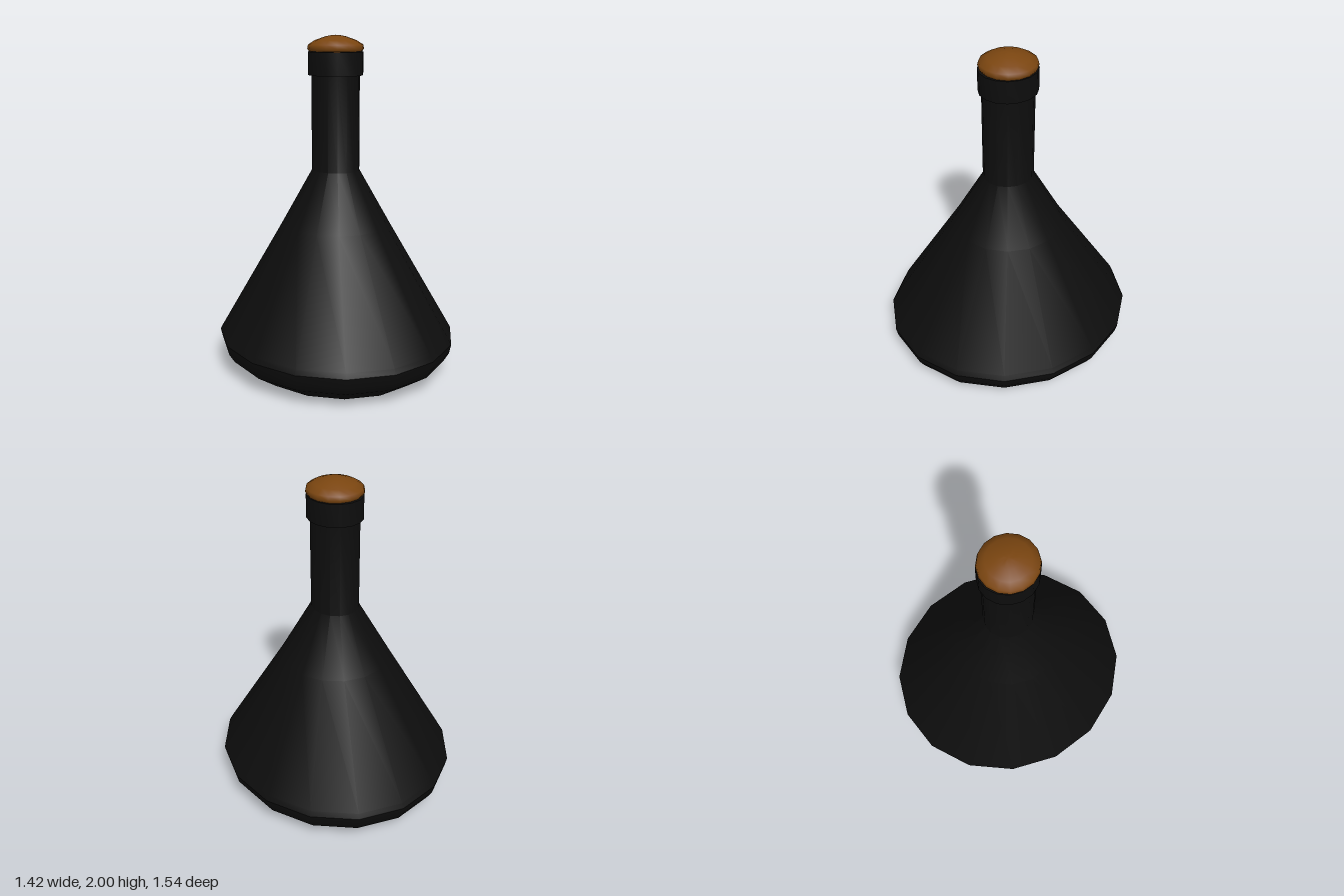
import * as THREE from 'three';
import { toCreasedNormals } from 'three/addons/utils/BufferGeometryUtils.js';

const SIDES = 16;

// Revolves rings of [x radius, z radius, height] into a slightly oval surface
function ovalLathe(name, rings, color, crease = 0.6) {
  const points = rings.map(([rx, , y]) => new THREE.Vector2(rx, y));
  const geometry = new THREE.LatheGeometry(points, SIDES);
  const pos = geometry.attributes.position;
  for (let i = 0; i < pos.count; i++) {
    const [rx, rz] = rings[i % rings.length];
    if (rx > 0) pos.setZ(i, pos.getZ(i) * rz / rx);
  }
  const material = new THREE.MeshStandardMaterial({ color });
  const mesh = new THREE.Mesh(toCreasedNormals(geometry, crease), material);
  mesh.name = name;
  return mesh;
}

export function createModel() {
  const group = new THREE.Group();
  group.name = 'flask';
  const glass = 0x0d0d0d;

  // Flared body with rounded foot, running up into the straight neck
  group.add(ovalLathe('body', [
    [0, 0, 0.004], [0.52, 0.585, 0.004], [0.53, 0.595, 0],
    [0.665, 0.73, 0.092], [0.698, 0.76, 0.145], [0.71, 0.772, 0.2],
    [0.693, 0.757, 0.23], [0.326, 0.335, 0.88], [0.14, 0.152, 1.21],
    [0.14, 0.152, 1.8],
  ], glass));

  // Thick lip around the mouth
  group.add(ovalLathe('collar', [
    [0.135, 0.145, 1.77], [0.16, 0.171, 1.77],
    [0.16, 0.171, 1.905], [0.12, 0.13, 1.905],
  ], glass));

  // Domed stopper, with its plug inside the neck
  group.add(ovalLathe('stopper', [
    [0, 0, 1.7], [0.11, 0.115, 1.7], [0.12, 0.125, 1.905],
    [0.155, 0.158, 1.907], [0.165, 0.168, 1.922], [0.16, 0.163, 1.945],
    [0.12, 0.122, 1.97], [0.06, 0.061, 1.991], [0.025, 0.025, 1.998], [0, 0, 2],
  ], 0x7a4510, 0.9));

  // Liquid resting in the bottom, seen through the base
  group.add(ovalLathe('liquid', [
    [0, 0, 0], [0.525, 0.59, 0], [0.655, 0.72, 0.1],
    [0.69, 0.75, 0.2], [0.46, 0.49, 0.6], [0, 0, 0.6],
  ], 0x17544f));

  return group;
}
